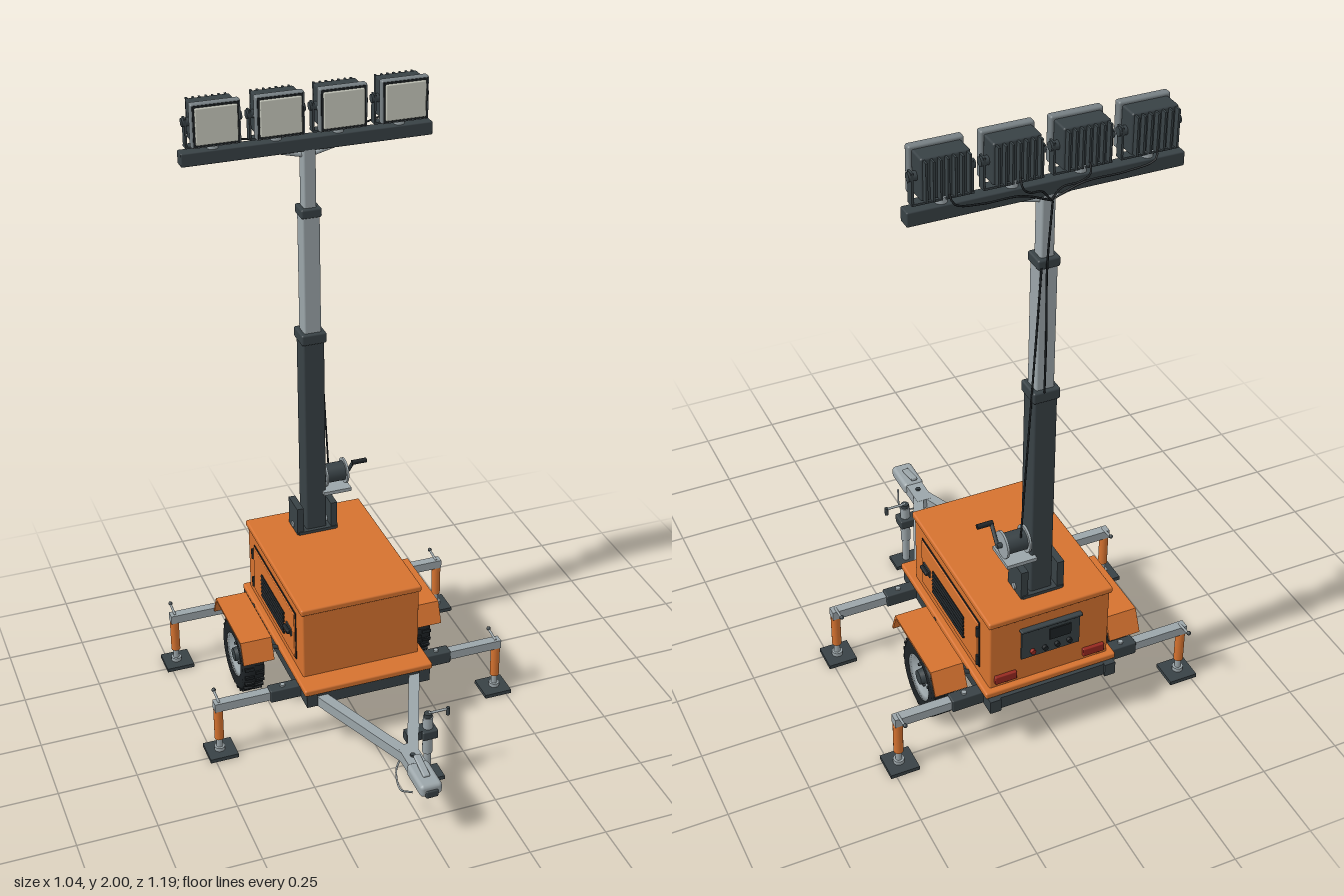
import * as THREE from 'three';
import { RoundedBoxGeometry } from 'three/addons/geometries/RoundedBoxGeometry.js';

const paint = (color, extra = {}) => new THREE.MeshStandardMaterial({ color, ...extra });
const V = (x, y, z) => new THREE.Vector3(x, y, z);

export function createModel() {
  const root = new THREE.Group();
  root.name = 'lightTower';
  const orange = paint(0xd5722f), dark = paint(0x384145), black = paint(0x1d2225), steel = paint(0x9ba5a9);
  const lens = paint(0xc9cbbf), red = paint(0x96281f), grey = paint(0x767f83);

  const add = (name, geo, mat, x = 0, y = 0, z = 0, parent = root) => {
    const m = new THREE.Mesh(geo, mat);
    m.name = name;
    m.position.set(x, y, z);
    parent.add(m);
    return m;
  };
  const box = (name, w, h, d, mat, x, y, z, parent) => add(name, new THREE.BoxGeometry(w, h, d), mat, x, y, z, parent);
  const soft = (name, w, h, d, mat, x, y, z, parent, r = 0.006) =>
    add(name, new RoundedBoxGeometry(w, h, d, 2, r), mat, x, y, z, parent);
  // round bar between two points
  const rod = (name, a, b, r, mat, parent = root, sides = 16) => {
    const m = add(name, new THREE.CylinderGeometry(r, r, a.distanceTo(b), sides), mat, 0, 0, 0, parent);
    m.position.copy(a).add(b).multiplyScalar(0.5);
    m.quaternion.setFromUnitVectors(V(0, 1, 0), b.clone().sub(a).normalize());
    return m;
  };
  const cable = (name, pts, r, mat, parent = root) =>
    add(name, new THREE.TubeGeometry(new THREE.CatmullRomCurve3(pts), 24, r, 6), mat, 0, 0, 0, parent);
  const group = (name, x = 0, y = 0, z = 0) => {
    const g = new THREE.Group();
    g.name = name;
    g.position.set(x, y, z);
    root.add(g);
    return g;
  };

  // chassis and deck
  soft('deck', 0.43, 0.022, 0.65, orange, 0, 0.219, -0.255);
  for (const s of [-1, 1]) box('chassisRail', 0.035, 0.045, 0.66, dark, s * 0.19, 0.185, -0.265);
  for (const z of [0.045, -0.25, -0.42, -0.572]) box('crossMember', 0.38, 0.042, 0.03, dark, 0, 0.185, z);

  // generator housing and lid
  soft('housing', 0.39, 0.25, 0.555, orange, 0, 0.35, -0.283);
  soft('lid', 0.402, 0.022, 0.57, orange, 0, 0.476, -0.283);
  for (const s of [-1, 1]) {
    const x = s * 0.196;
    box('doorSeam', 0.004, 0.174, 0.424, black, x, 0.345, -0.28);
    soft('sideDoor', 0.012, 0.166, 0.416, orange, x, 0.345, -0.28, root, 0.003);
    for (let i = 0; i < 6; i++) {
      const slat = box('louver', 0.008, 0.008, 0.23, black, s * 0.203, 0.298 + i * 0.0148, -0.28);
      slat.rotation.z = s * 0.4;
    }
    box('latchPlate', 0.006, 0.026, 0.05, dark, s * 0.203, 0.345, -0.118);
    soft('doorHandle', 0.012, 0.014, 0.044, black, s * 0.212, 0.346, -0.118, root, 0.004);
    for (const y of [0.29, 0.4]) rod('doorHinge', V(s * 0.203, y - 0.018, -0.491), V(s * 0.203, y + 0.018, -0.491), 0.005, black);
    soft('tailLight', 0.07, 0.028, 0.014, red, s * 0.145, 0.26, -0.564, root, 0.003);
  }
  // rear control panel
  box('controlPanel', 0.19, 0.105, 0.008, dark, 0, 0.365, -0.563);
  box('controlScreen', 0.07, 0.04, 0.004, black, -0.03, 0.38, -0.569);
  for (let i = 0; i < 4; i++)
    rod('controlKnob', V(-0.06 + i * 0.04, 0.335, -0.565), V(-0.06 + i * 0.04, 0.335, -0.577), 0.008, i === 3 ? red : black);
  soft('controlHood', 0.2, 0.01, 0.018, dark, 0, 0.423, -0.567, root, 0.003);

  // axle, wheels and fenders
  rod('axle', V(-0.32, 0.128, -0.333), V(0.32, 0.128, -0.333), 0.017, steel);
  const tyreProfile = [[0.075, -0.034], [0.108, -0.037], [0.118, -0.03], [0.121, -0.015], [0.121, 0.015],
    [0.118, 0.03], [0.108, 0.037], [0.075, 0.034]].map(p => new THREE.Vector2(...p));
  const rimProfile = [[0, 0.012], [0.03, 0.014], [0.05, 0.012], [0.062, 0.026], [0.078, 0.033], [0.079, -0.033],
    [0.06, -0.02], [0, -0.015]].map(p => new THREE.Vector2(...p)).reverse();
  const arch = new THREE.Shape([[-0.165, 0.2], [-0.193, 0.27], [-0.467, 0.27], [-0.5, 0.2], [-0.492, 0.2],
    [-0.461, 0.262], [-0.199, 0.262], [-0.173, 0.2]].map(p => new THREE.Vector2(...p)));
  for (const s of [-1, 1]) {
    const wheel = group('wheel', s * 0.293, 0.128, -0.333);
    wheel.rotation.z = -s * Math.PI / 2;
    add('tyre', new THREE.LatheGeometry(tyreProfile, 48), black, 0, 0, 0, wheel);
    add('rim', new THREE.LatheGeometry(rimProfile, 40), steel, 0, 0, 0, wheel);
    add('hubCap', new THREE.CylinderGeometry(0.022, 0.026, 0.026, 24), dark, 0, 0.022, 0, wheel);
    for (let i = 0; i < 6; i++) {
      const a = i * Math.PI / 3;
      add('wheelNut', new THREE.CylinderGeometry(0.005, 0.005, 0.01, 6), dark, 0.038 * Math.cos(a), 0.016, 0.038 * Math.sin(a), wheel);
    }
    for (let i = 0; i < 48; i++) {
      const a = i * Math.PI / 24, row = i % 2 ? 1 : -1;
      const lug = box('treadLug', 0.01, 0.03, 0.011, black, 0.1205 * Math.cos(a), row * 0.017, 0.1205 * Math.sin(a), wheel);
      lug.rotation.y = -a;
    }
    const fender = new THREE.ExtrudeGeometry(arch, { depth: 0.104, bevelEnabled: false });
    fender.rotateY(-Math.PI / 2);
    add('fender', fender, orange, s * 0.291 + 0.052, 0, 0);
    for (const z of [-0.205, -0.455]) rod('fenderStay', V(s * 0.19, 0.205, z), V(s * 0.3, 0.253, z), 0.007, dark);
    box('axleBracket', 0.022, 0.05, 0.05, steel, s * 0.19, 0.148, -0.333);
  }

  // four outriggers with crank jacks
  for (const s of [-1, 1]) for (const z of [-0.017, -0.525]) {
    const g = group('outrigger', 0, 0, z);
    soft('sleeve', 0.11, 0.044, 0.04, dark, s * 0.252, 0.185, 0, g, 0.004);
    box('slideBeam', 0.25, 0.03, 0.03, steel, s * 0.363, 0.186, 0, g);
    rod('lockPin', V(s * 0.262, 0.2, 0), V(s * 0.262, 0.213, 0), 0.008, steel, g);
    rod('jackTube', V(s * 0.475, 0.06, 0), V(s * 0.475, 0.172, 0), 0.015, orange, g);
    rod('jackRam', V(s * 0.475, 0.015, 0), V(s * 0.475, 0.065, 0), 0.01, steel, g);
    rod('jackCollar', V(s * 0.475, 0.015, 0), V(s * 0.475, 0.028, 0), 0.017, steel, g);
    box('footPad', 0.092, 0.013, 0.09, dark, s * 0.472, 0.0075, 0, g);
    rod('jackCrank', V(s * 0.472, 0.2, 0.006), V(s * 0.472, 0.206, -0.05), 0.004, steel, g, 8);
    add('crankKnob', new THREE.SphereGeometry(0.007, 12, 8), dark, s * 0.472, 0.209, -0.052, g);
  }

  // V-shaped drawbar
  for (const s of [-1, 1]) {
    const a = V(s * 0.168, 0.178, 0.03), b = V(s * 0.012, 0.178, 0.405);
    const bar = box('drawbarArm', 0.034, 0.035, a.distanceTo(b), steel, 0, 0, 0);
    bar.position.copy(a).add(b).multiplyScalar(0.5);
    bar.rotation.y = Math.atan2(b.x - a.x, b.z - a.z);
    cable('safetyChain', [V(s * 0.02, 0.16, 0.39), V(s * 0.045, 0.14, 0.415), V(s * 0.055, 0.112, 0.47), V(s * 0.036, 0.14, 0.53)], 0.003, steel);
  }
  // coupler
  box('drawbarNose', 0.056, 0.036, 0.12, steel, 0, 0.178, 0.435);
  soft('couplerHead', 0.07, 0.042, 0.12, steel, 0, 0.18, 0.527, root, 0.012);
  soft('couplerMouth', 0.04, 0.026, 0.02, dark, 0, 0.17, 0.582, root, 0.005);
  const lever = soft('couplerLever', 0.022, 0.012, 0.085, steel, 0, 0.211, 0.505, root, 0.004);
  lever.rotation.x = 0.22;
  rod('couplerBolt', V(0, 0.19, 0.435), V(0, 0.202, 0.435), 0.008, dark);

  // nose jack
  const jack = group('noseJack', 0.095, 0, 0.322);
  box('jackBracket', 0.07, 0.032, 0.03, dark, -0.04, 0.179, 0, jack);
  soft('jackClamp', 0.05, 0.032, 0.052, dark, 0, 0.179, 0, jack, 0.004);
  rod('jackOuterTube', V(0, 0.1, 0), V(0, 0.235, 0), 0.016, steel, jack);
  rod('jackInnerTube', V(0, 0.015, 0), V(0, 0.11, 0), 0.012, steel, jack);
  rod('jackCap', V(0, 0.235, 0), V(0, 0.248, 0), 0.013, dark, jack);
  box('jackPad', 0.095, 0.013, 0.065, dark, 0, 0.0075, 0, jack);
  rod('jackHandle', V(0, 0.247, 0), V(0.068, 0.247, 0), 0.004, steel, jack);
  rod('jackGrip', V(0.066, 0.252, 0), V(0.066, 0.225, 0), 0.006, dark, jack);

  // telescopic mast
  const mast = group('mast', 0, 0, -0.46);
  box('mastFoot', 0.13, 0.012, 0.095, dark, 0, 0.491, 0, mast);
  for (const s of [-1, 1]) box('mastCheek', 0.022, 0.098, 0.088, dark, s * 0.058, 0.536, 0, mast);
  rod('mastPivot', V(-0.074, 0.505, 0), V(0.074, 0.505, 0), 0.01, steel, mast);
  soft('lowerMast', 0.07, 0.71, 0.07, dark, 0, 0.845, 0, mast);
  soft('lowerCollar', 0.082, 0.036, 0.082, dark, 0, 1.19, 0, mast);
  soft('middleMast', 0.056, 0.43, 0.056, steel, 0, 1.405, 0, mast);
  soft('upperCollar', 0.066, 0.03, 0.066, dark, 0, 1.607, 0, mast);
  soft('upperMast', 0.04, 0.2, 0.042, steel, 0, 1.71, 0, mast);
  // winch
  box('winchPlate', 0.095, 0.012, 0.1, steel, 0.07, 0.628, 0, mast);
  rod('winchDrum', V(0.035, 0.675, 0), V(0.108, 0.675, 0), 0.032, dark, mast, 32);
  for (const x of [0.036, 0.106]) rod('winchFlange', V(x, 0.675, 0), V(x + 0.007, 0.675, 0), 0.042, steel, mast, 32);
  rod('winchShaft', V(0.1, 0.675, 0), V(0.128, 0.675, 0), 0.008, dark, mast);
  rod('winchCrank', V(0.125, 0.672, 0), V(0.125, 0.728, 0.046), 0.006, dark, mast);
  rod('winchGrip', V(0.12, 0.726, 0.046), V(0.17, 0.726, 0.046), 0.008, black, mast);
  rod('winchCable', V(0.062, 0.7, -0.02), V(0.024, 1.6, -0.034), 0.003, black, mast, 8);
  cable('powerCable', [V(0.0, 1.8, -0.04), V(0.012, 1.6, -0.042), V(0.006, 1.4, -0.036), V(0.012, 1.21, -0.046)], 0.003, black, mast);

  // lamp bar with braces
  soft('lampBar', 0.785, 0.042, 0.042, dark, 0, 1.823, 0, mast, 0.004);
  for (const s of [-1, 1]) rod('barBrace', V(s * 0.015, 1.785, 0), V(s * 0.1, 1.806, 0), 0.007, steel, mast);

  // four flood lamps
  for (let i = 0; i < 4; i++) {
    const x = (i - 1.5) * 0.194;
    const lamp = group('floodLamp', x, 1.932, -0.46);
    rod('lampPost', V(0, -0.09, 0), V(0, -0.07, 0), 0.016, steel, lamp);
    box('yokeBase', 0.168, 0.006, 0.03, dark, 0, -0.074, 0, lamp);
    soft('lampBody', 0.134, 0.118, 0.06, dark, 0, 0, -0.002, lamp);
    soft('lampFrame', 0.15, 0.134, 0.026, grey, 0, 0, 0.038, lamp);
    box('lampGasket', 0.14, 0.124, 0.006, black, 0, 0, 0.05, lamp);
    soft('lampLens', 0.128, 0.112, 0.012, lens, 0, 0, 0.053, lamp, 0.004);
    for (let k = 0; k < 7; k++) box('coolingFin', 0.006, 0.11, 0.026, dark, (k - 3) * 0.0195, 0, -0.038, lamp);
    for (const s of [-1, 1]) {
      box('yokeArm', 0.006, 0.09, 0.026, dark, s * 0.081, -0.031, 0, lamp);
      rod('yokeKnob', V(s * 0.064, 0, 0), V(s * 0.09, 0, 0), 0.013, dark, lamp);
    }
    cable('lampCable', [V(x, 1.9, -0.045), V(x * 0.97, 1.865, -0.06), V(x * 0.7, 1.842, -0.05), V(x * 0.3, 1.83, -0.036), V(0, 1.795, -0.03)], 0.003, black, mast);
  }
  return root;
}
